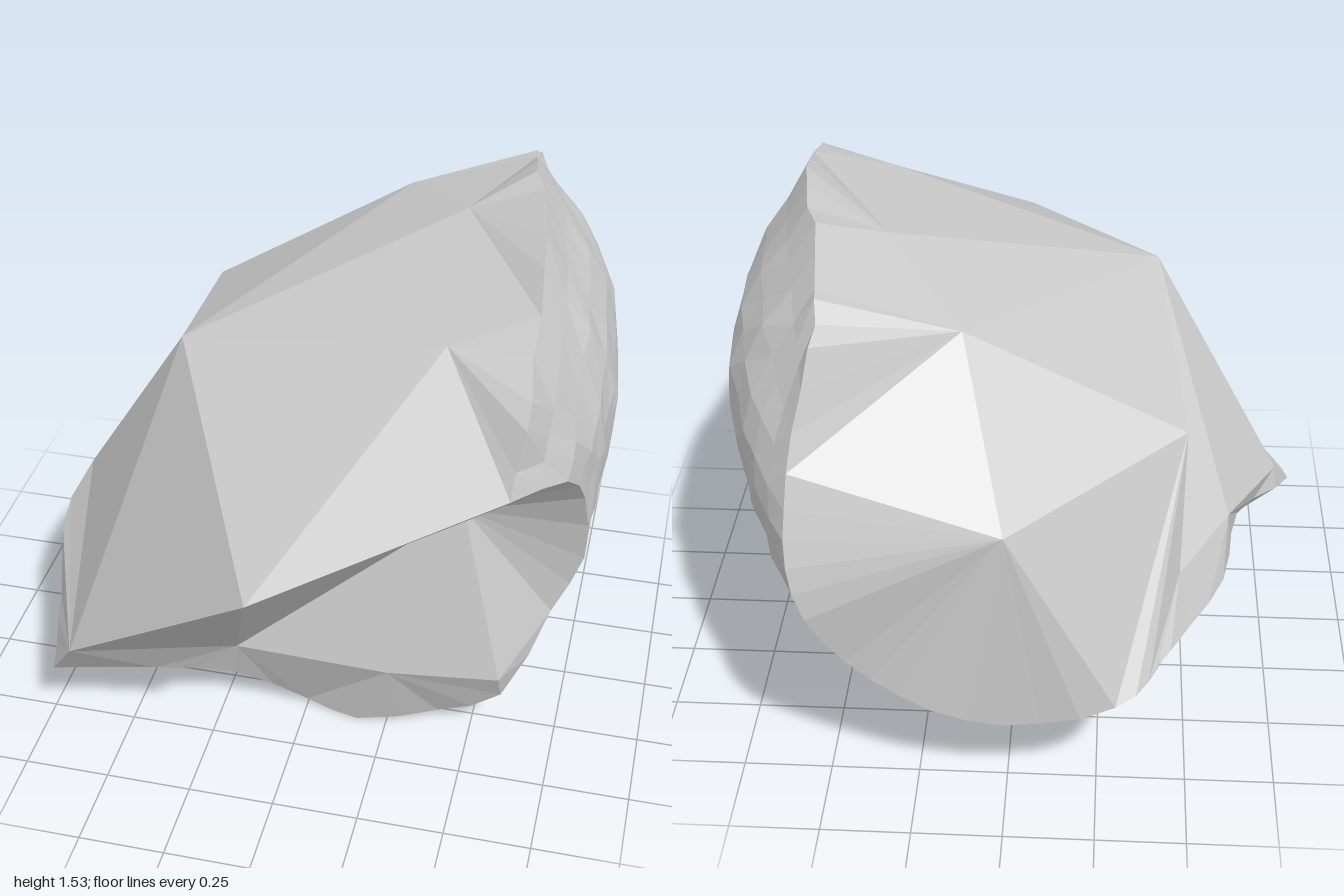
import * as THREE from 'three';

const curve = (pts) => new THREE.CatmullRomCurve3(pts.map((p) => new THREE.Vector3(...p)));
const U = 22, V = 15; // crust grid: around the belly, front to back

// Crust cross-sections, each running from the low left rim under the belly to the top ridge
const frontRim = [
  [-0.69, 0.27, 0.62], [-0.42, 0.22, 0.5], [-0.2, 0.16, 0.4], [0, 0.02, 0.32],
  [0.16, 0, 0.35], [0.4, 0.04, 0.3], [0.59, 0.17, 0.33], [0.71, 0.46, 0.26],
  [0.79, 0.67, 0.26], [0.78, 0.93, 0.33], [0.74, 1.08, 0.47], [0.62, 1.16, 0.7],
];
const sections = [
  [[-0.74, 0.36, 0.4], [-0.28, 0.22, 0.27], [0.1, 0.08, 0.18], [0.5, 0.18, 0.13], [0.75, 0.58, 0.1], [0.8, 1.03, 0.2], [0.63, 1.36, 0.53]],
  [[-0.81, 0.48, 0.08], [-0.31, 0.23, 0], [0.1, 0.14, -0.02], [0.5, 0.26, -0.05], [0.77, 0.65, -0.05], [0.8, 1.12, 0.01], [0.61, 1.49, 0.12]],
  [[-0.64, 0.54, -0.2], [-0.3, 0.27, -0.31], [0.08, 0.2, -0.35], [0.47, 0.33, -0.36], [0.74, 0.73, -0.37], [0.77, 1.17, -0.32], [0.54, 1.53, -0.27]],
  [[-0.59, 0.53, -0.52], [-0.3, 0.34, -0.61], [0.06, 0.25, -0.65], [0.41, 0.38, -0.69], [0.63, 0.74, -0.72], [0.67, 1.13, -0.69], [0.49, 1.47, -0.6]],
  [[-0.44, 0.48, -0.77], [-0.32, 0.4, -0.9], [0.04, 0.31, -0.9], [0.35, 0.47, -0.92], [0.52, 0.77, -0.99], [0.54, 1.04, -0.93], [0.48, 1.39, -0.78]],
];

// Corners of the broken facets
const hubs = {
  spurTip: [0.01, 0.95, 1], leftSpur: [-0.6, 0.42, 0.7], underSpur: [-0.18, 0.31, 0.45],
  chin: [0.26, 0.25, 0.4], jaw: [0.585, 0.26, 0.37], cheek: [0.45, 0.81, 0.3],
  shoulder: [-0.39, 1.18, 0.17], frontTop: [0.39, 1.37, 0.35], midTop: [0.34, 1.45, -0.26],
  backTop: [0.12, 1.34, -0.59], back: [0, 0.92, -0.9], leftBack: [-0.47, 1, -0.5],
  lowBack: [-0.46, 0.64, -0.64], lowLeft: [-0.6, 0.67, -0.4], leftTip: [-0.76, 0.57, 0],
};

function noise(i, j, k) {
  const s = Math.sin(i * 12.99 + j * 78.23 + k * 37.72) * 43758.5453;
  return s - Math.floor(s) - 0.5;
}

function mesh(name, triangles) {
  const geometry = new THREE.BufferGeometry().setFromPoints(triangles.flat());
  geometry.computeVertexNormals();
  const result = new THREE.Mesh(geometry, new THREE.MeshStandardMaterial({ color: 0xcccccc, flatShading: true }));
  result.name = name;
  return result;
}

// Lofted grid with slight roughness; the front rim stays exact and the top ridge is the most jagged
function crustGrid() {
  const rings = [frontRim, ...sections].map(curve);
  const grid = [];
  for (let i = 0; i <= U; i++) {
    const lengthwise = new THREE.CatmullRomCurve3(rings.map((r) => r.getPoint(i / U)));
    grid.push([]);
    for (let j = 0; j <= V; j++) {
      const p = lengthwise.getPoint(j / V);
      if (j > 0) {
        const a = j === V || i === 0 ? 0.005 : i === U ? 0.03 : 0.014;
        p.add(new THREE.Vector3(noise(i, j, 1), noise(i, j, 2), noise(i, j, 3)).multiplyScalar(a));
      }
      grid[i].push(p);
    }
  }
  return grid;
}

export function createModel() {
  const group = new THREE.Group();
  group.name = 'rock';
  const grid = crustGrid();

  // Rounded weathered crust: right side and underside
  const crust = [];
  for (let i = 0; i < U; i++) {
    for (let j = 0; j < V; j++) {
      const a = grid[i][j], b = grid[i][j + 1], c = grid[i + 1][j + 1], d = grid[i + 1][j];
      crust.push([a, b, c], [a, c, d]);
    }
  }
  group.add(mesh('weatheredCrust', crust));

  // Closed rim: along the front, back over the top ridge, down the back, forward on the left
  const rim = [];
  for (let i = 0; i < U; i++) rim.push(grid[i][0]);
  for (let j = 0; j < V; j++) rim.push(grid[U][j]);
  for (let i = U; i > 0; i--) rim.push(grid[i][V]);
  for (let j = V; j >= 0; j--) rim.push(grid[0][j]);

  // Each facet corner fans out to its stretch of the rim, up to the given index
  const top = U, rear = U + V, left = 2 * U + V;
  const fans = [
    ['leftSpur', 2], ['underSpur', 6], ['chin', 12], ['jaw', 14], ['cheek', 20], ['spurTip', top],
    ['frontTop', top + 5], ['midTop', top + 12], ['backTop', rear + 3], ['back', left - 4],
    ['leftBack', left - 2], ['lowBack', left + 2], ['lowLeft', left + 7], ['leftTip', left + 9],
    ['leftSpur', left + V],
  ];
  const h = Object.fromEntries(Object.entries(hubs).map(([k, p]) => [k, new THREE.Vector3(...p)]));
  const facets = [];
  let r = 0;
  fans.forEach(([name, end], n) => {
    for (; r < end; r++) facets.push([h[name], rim[r], rim[r + 1]]);
    if (n < fans.length - 1) facets.push([h[name], rim[end], h[fans[n + 1][0]]]);
  });

  // Large facets between the corners
  [
    ['chin', 'jaw', 'cheek'], ['underSpur', 'chin', 'cheek'], ['leftSpur', 'underSpur', 'spurTip'],
    ['underSpur', 'cheek', 'spurTip'], ['leftSpur', 'spurTip', 'shoulder'], ['spurTip', 'frontTop', 'shoulder'],
    ['frontTop', 'midTop', 'shoulder'], ['midTop', 'backTop', 'shoulder'], ['backTop', 'leftBack', 'shoulder'],
    ['backTop', 'back', 'leftBack'], ['leftBack', 'lowBack', 'shoulder'], ['lowBack', 'lowLeft', 'shoulder'],
    ['lowLeft', 'leftTip', 'shoulder'], ['leftTip', 'leftSpur', 'shoulder'],
  ].forEach((t) => facets.push(t.map((name) => h[name])));
  group.add(mesh('brokenFacets', facets));

  return group;
}
